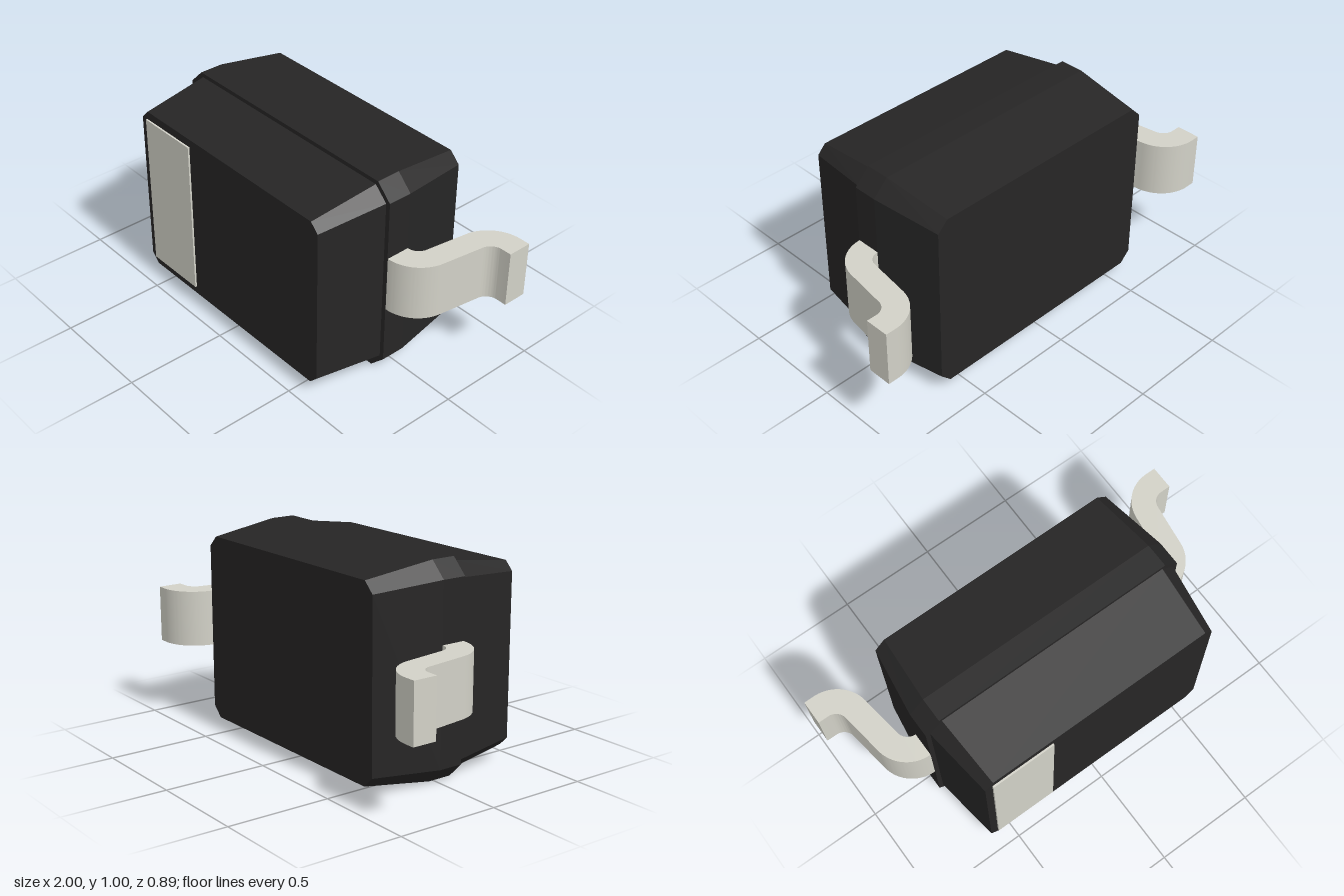
import * as THREE from 'three';
import { toCreasedNormals } from 'three/addons/utils/BufferGeometryUtils.js';

// Octagonal ring: half sizes (hx, hy), inner corner sizes (ix, iy), counter-clockwise from +z
function ring([z, hx, hy, ix, iy]) {
  return [[hx, -iy], [hx, iy], [ix, hy], [-ix, hy], [-hx, iy], [-hx, -iy], [-ix, -hy], [ix, -hy]]
    .map(([x, y]) => [x, y, z]);
}

// Closed, faceted loft through rings ordered from back to front
function loft(sections) {
  const rings = sections.map(ring);
  const pos = [];
  const tri = (a, b, c) => pos.push(...a, ...b, ...c);
  for (let r = 0; r < rings.length - 1; r++) {
    const A = rings[r], B = rings[r + 1];
    for (let i = 0; i < 8; i++) {
      const j = (i + 1) % 8;
      tri(A[i], A[j], B[j]);
      tri(A[i], B[j], B[i]);
    }
  }
  const back = rings[0], front = rings[rings.length - 1];
  for (let i = 1; i < 7; i++) {
    tri(back[0], back[i + 1], back[i]);
    tri(front[0], front[i], front[i + 1]);
  }
  const g = new THREE.BufferGeometry();
  g.setAttribute('position', new THREE.Float32BufferAttribute(pos, 3));
  g.computeVertexNormals();
  return g;
}

// S-bent strip of constant thickness, centred on y = 0
function leadGeometry() {
  const t = 0.15, R = 0.18, r = 0.062, q = Math.PI / 2, width = 0.276;
  const s = new THREE.Shape();
  s.moveTo(0.62, -0.085 + R);
  s.lineTo(0.68, -0.085 + R);
  s.absarc(0.68, -0.085, R, q, t, true);
  s.absarc(0.95, -0.263, r, Math.PI + t, 3 * q, false);
  s.lineTo(1, -0.263 - r);
  s.lineTo(1, -0.263 - R);
  s.lineTo(0.95, -0.263 - R);
  s.absarc(0.95, -0.263, R, 3 * q, Math.PI + t, true);
  s.absarc(0.68, -0.085, r, t, q, false);
  s.lineTo(0.62, -0.085 + r);
  s.closePath();
  const g = new THREE.ExtrudeGeometry(s, { depth: width, bevelEnabled: false, curveSegments: 16 });
  g.rotateX(Math.PI / 2);
  g.translate(0, width / 2, 0);
  return toCreasedNormals(g, 0.4);
}

export function createModel() {
  const model = new THREE.Group();
  model.name = 'surfaceMountDiode';
  const black = new THREE.MeshStandardMaterial({ name: 'black plastic', color: 0x262525 });
  const metal = new THREE.MeshStandardMaterial({ name: 'pale metal', color: 0xd2d1c7 });

  const add = (name, geometry, material, x, y, z) => {
    const m = new THREE.Mesh(geometry, material);
    m.name = name;
    m.position.set(x, y, z);
    model.add(m);
    return m;
  };

  // Moulded case, with a small step at the parting line
  add('case', loft([
    [-0.363, 0.632, 0.452, 0.58, 0.401],
    [-0.022, 0.68, 0.5, 0.605, 0.425],
    [0.097, 0.68, 0.5, 0.605, 0.425],
    [0.097, 0.658, 0.48, 0.592, 0.415],
    [0.435, 0.612, 0.433, 0.57, 0.39],
  ]), black, 0, 0.5, 0);

  // Polarity band on the front
  add('polarityBand', new THREE.BoxGeometry(0.32, 0.785, 0.009), metal, -0.415, 0.5, 0.4395);

  // Bent leads on both sides
  const lead = leadGeometry();
  add('leftLead', lead, metal, 0, 0.502, 0);
  add('rightLead', lead, metal, 0, 0.502, 0).rotation.z = Math.PI;

  return model;
}
